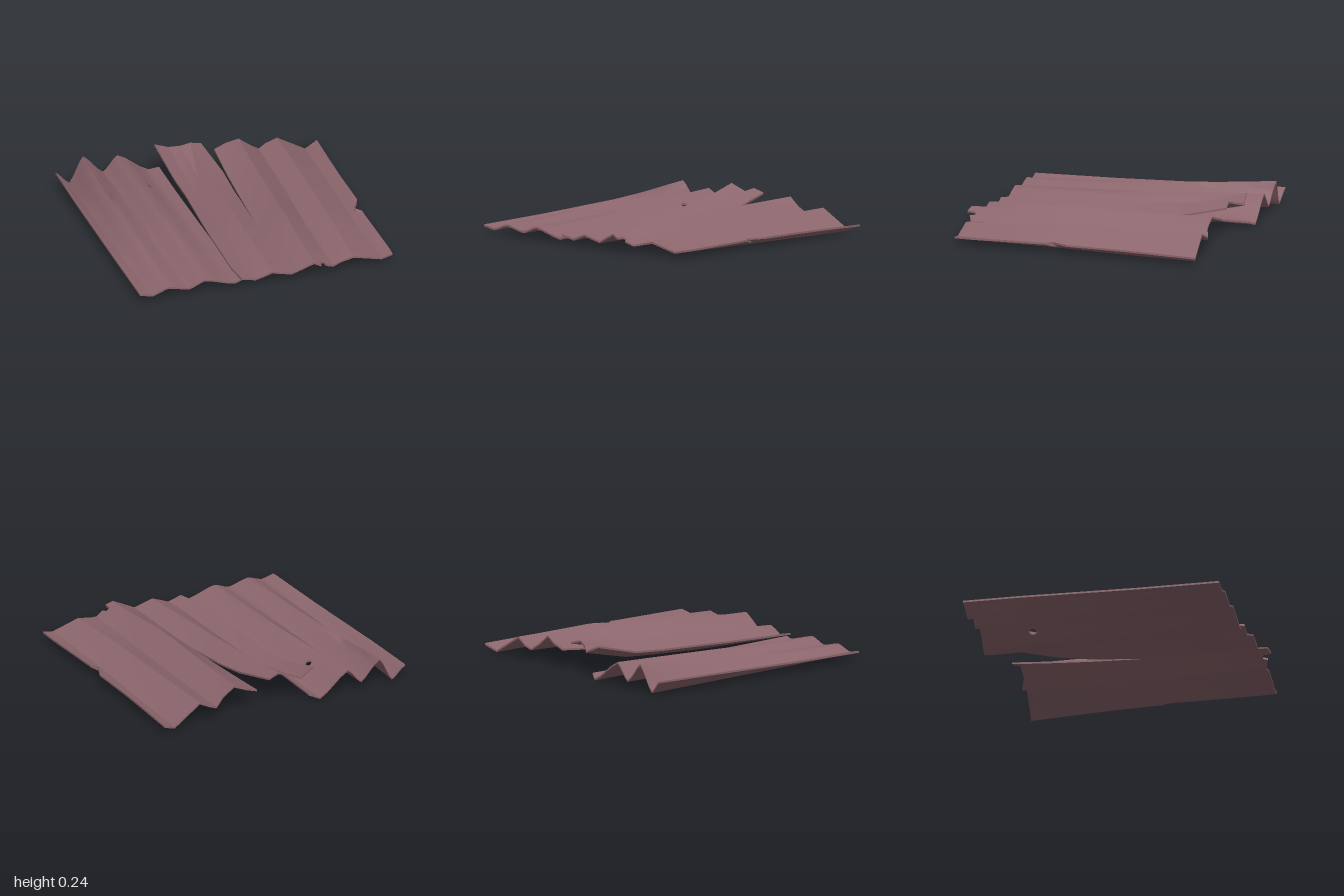
import * as THREE from 'three';
import { toCreasedNormals } from 'three/addons/utils/BufferGeometryUtils.js';

const material = new THREE.MeshStandardMaterial({ color: 0x8c666d });
const THICK = 0.014;

// Piecewise-linear lookup; keys may run up or down
function sample(keys, values, k) {
  const dir = Math.sign(keys[keys.length - 1] - keys[0]);
  let i = 0;
  while (i < keys.length - 2 && (k - keys[i + 1]) * dir > 0) i++;
  const f = (k - keys[i]) / (keys[i + 1] - keys[i]);
  return THREE.MathUtils.lerp(values[i], values[i + 1], THREE.MathUtils.clamp(f, 0, 1));
}

// Thin corrugated sheet. Fold lines (x and y at each station) run front to back;
// columns sit at fractional fold numbers, and the two ends follow ragged edges.
function sheet(name, { stations, folds, cols, rows, front, back, crease, round = 0, adjust, skip }) {
  const point = (i, j) => {
    let t = cols[j], z = rows[i], dx = 0, dy = 0;
    if (adjust) ({ t, z, dx = 0, dy = 0 } = adjust(t, z));
    const n = Math.min(Math.floor(t), folds.length - 2), f = t - n;
    const fy = THREE.MathUtils.lerp(f, f * f * (3 - 2 * f), round);
    const at = (axis, k) => THREE.MathUtils.lerp(
      sample(stations, folds[n][axis], z), sample(stations, folds[n + 1][axis], z), k);
    const x = at('x', f) + dx, y = at('y', fy) + dy;
    if (i === 0) z = sample(front[0], front[1], t);
    if (i === rows.length - 1) z = sample(back[0], back[1], t);
    return [x, y, z];
  };
  const top = rows.map((_, i) => cols.map((_, j) => point(i, j)));
  const low = ([x, y, z]) => [x, y - THICK, z];
  const solid = (i, j) => i >= 0 && j >= 0 && i < rows.length - 1 && j < cols.length - 1
    && !(skip && skip((cols[j] + cols[j + 1]) / 2, (rows[i] + rows[i + 1]) / 2));
  const pos = [];
  const quad = (a, b, c, d) => pos.push(...a, ...b, ...c, ...a, ...c, ...d);
  const wall = (p, q) => quad(low(p), low(q), q, p);
  for (let i = 0; i < rows.length - 1; i++) {
    for (let j = 0; j < cols.length - 1; j++) {
      if (!solid(i, j)) continue;
      const a = top[i][j], b = top[i][j + 1], c = top[i + 1][j + 1], d = top[i + 1][j];
      quad(a, b, c, d);
      quad(low(d), low(c), low(b), low(a));
      if (!solid(i - 1, j)) wall(a, b);
      if (!solid(i, j + 1)) wall(b, c);
      if (!solid(i + 1, j)) wall(c, d);
      if (!solid(i, j - 1)) wall(d, a);
    }
  }
  const geometry = new THREE.BufferGeometry();
  geometry.setAttribute('position', new THREE.Float32BufferAttribute(pos, 3));
  const mesh = new THREE.Mesh(toCreasedNormals(geometry, crease), material);
  mesh.name = name;
  return mesh;
}

export function createModel() {
  const group = new THREE.Group();
  group.name = 'corrugatedSheets';

  // Rounded sheet with a nail hole and a dent near its back end
  const hole = { t: 4.43, z: -0.6, rt: 0.085, rz: 0.03 };
  const cols = [];
  for (let t = 0; t <= 6; t += 0.25) if (Math.abs(t - 4.5) > 0.1) cols.push(t);
  cols.push(2.17, 2.33, hole.t - hole.rt, hole.t, hole.t + hole.rt);
  cols.sort((a, b) => a - b);
  group.add(sheet('roundedSheet', {
    stations: [0.9, 0.3, -0.55, -0.98],
    folds: [
      { x: [-1, -0.995, -0.99, -0.98], y: [0.065, 0.075, 0.1, 0.11] },
      { x: [-0.9, -0.9, -0.89, -0.88], y: [0.045, 0.035, 0.025, 0.018] },
      { x: [-0.78, -0.775, -0.77, -0.77], y: [0.085, 0.11, 0.165, 0.205] },
      { x: [-0.62, -0.62, -0.61, -0.62], y: [0.05, 0.05, 0.055, 0.06] },
      { x: [-0.5, -0.49, -0.5, -0.51], y: [0.095, 0.115, 0.155, 0.175] },
      { x: [-0.27, -0.27, -0.27, -0.27], y: [0.035, 0.025, 0.018, 0.014] },
      { x: [-0.22, -0.22, -0.21, -0.2], y: [0.05, 0.045, 0.04, 0.04] },
    ],
    cols,
    rows: [0.9, 0.6, 0.3, 0, -0.2, -0.42, -0.5, -0.57, -0.6, -0.63, -0.75, -0.87, -0.98],
    front: [[0, 6], [0.91, 0.9]],
    back: [[0, 1, 2, 2.5, 4, 5, 6], [-0.99, -0.975, -0.99, -0.98, -0.98, -0.99, -0.95]],
    crease: 0.8,
    round: 0.45,
    adjust: (t, z) => {
      const u = (t - hole.t) / hole.rt, v = (z - hole.z) / hole.rz;
      const corner = Math.abs(Math.abs(u) - 1) < 0.01 && Math.abs(Math.abs(v) - 1) < 0.01;
      if (corner) return { t: hole.t + u * hole.rt * 0.71, z: hole.z + v * hole.rz * 0.71 };
      const dent = t > 2.1 && t < 2.3 && z < -0.45 && z > -0.9 ? -0.03 : 0;
      return { t, z, dy: dent };
    },
    skip: (t, z) => Math.abs(t - hole.t) < hole.rt && Math.abs(z - hole.z) < hole.rz,
  }));

  // Sharply folded sheet, torn from the back along one valley
  const folded = new THREE.Group();
  folded.name = 'foldedSheet';
  const stations = [0.92, 0.78, 0.3, 0.1, -0.3, -0.55, -0.9];

  folded.add(sheet('tornStrip', {
    stations,
    folds: [
      { x: [-0.23, -0.25, -0.245, -0.24, -0.22, -0.225, -0.245], y: [0.07, 0.08, 0.1, 0.11, 0.125, 0.145, 0.242] },
      { x: [-0.12, -0.135, -0.125, -0.12, -0.11, -0.115, -0.13], y: [0.045, 0.045, 0.055, 0.06, 0.08, 0.1, 0.19] },
      { x: [0, 0, 0, 0.005, 0.005, 0.01, 0.015], y: [0.09, 0.1, 0.13, 0.145, 0.175, 0.195, 0.235] },
      { x: [0.15, 0.15, 0.155, 0.155, 0.15, 0.148, 0.1], y: [0.055, 0.055, 0.058, 0.065, 0.1, 0.14, 0.21] },
    ],
    cols: [0, 0.5, 1, 1.5, 2, 2.5, 3],
    rows: stations,
    front: [[0, 0.5, 1, 1.5, 2, 3], [0.925, 0.92, 0.92, 0.935, 0.94, 0.94]],
    back: [[0, 1, 1.5, 2, 3], [-0.93, -0.95, -0.9, -0.88, -0.89]],
    crease: 0.28,
  }));

  // Wide part, with a bite out of its front end and another out of its free edge
  const edgeShift = [[0.22, 0.17, 0.13, 0.05], [-0.003, -0.045, -0.02, 0.012]];
  folded.add(sheet('widePart', {
    stations,
    folds: [
      { x: [0.15, 0.15, 0.155, 0.155, 0.17, 0.18, 0.2], y: [0.055, 0.055, 0.058, 0.065, 0.09, 0.11, 0.145] },
      { x: [0.31, 0.315, 0.325, 0.33, 0.35, 0.36, 0.38], y: [0.13, 0.138, 0.187, 0.19, 0.195, 0.2, 0.21] },
      { x: [0.47, 0.475, 0.49, 0.5, 0.52, 0.53, 0.54], y: [0.06, 0.06, 0.062, 0.065, 0.075, 0.08, 0.09] },
      { x: [0.635, 0.635, 0.65, 0.655, 0.67, 0.675, 0.68], y: [0.095, 0.1, 0.13, 0.135, 0.145, 0.15, 0.155] },
      { x: [0.85, 0.85, 0.855, 0.86, 0.88, 0.89, 0.9], y: [0.042, 0.04, 0.032, 0.03, 0.025, 0.022, 0.02] },
      { x: [0.935, 0.94, 0.94, 0.95, 0.97, 0.98, 1], y: [0.06, 0.06, 0.065, 0.07, 0.068, 0.065, 0.06] },
    ],
    cols: [0, 0.5, 1, 1.32, 1.35, 1.55, 1.62, 2, 2.4, 3, 3.5, 4, 4.5, 5],
    rows: [0.92, 0.78, 0.3, 0.22, 0.17, 0.13, 0.05, -0.3, -0.55, -0.9],
    front: [[0, 0.5, 1, 1.32, 1.35, 1.55, 1.62, 2, 2.4, 3, 5],
      [0.94, 0.96, 0.975, 0.99, 0.93, 0.92, 0.955, 0.935, 0.915, 0.915, 0.905]],
    back: [[0, 0.5, 1, 1.5, 2, 2.4, 3, 4, 5], [-0.89, -0.895, -0.87, -0.86, -0.89, -0.905, -0.89, -0.905, -0.93]],
    crease: 0.28,
    adjust: (t, z) => {
      const nearNotch = t === 5 && z < 0.25 && z > 0;
      return { t, z, dx: nearNotch ? sample(edgeShift[0], edgeShift[1], z) : 0 };
    },
  }));
  group.add(folded);
  return group;
}
